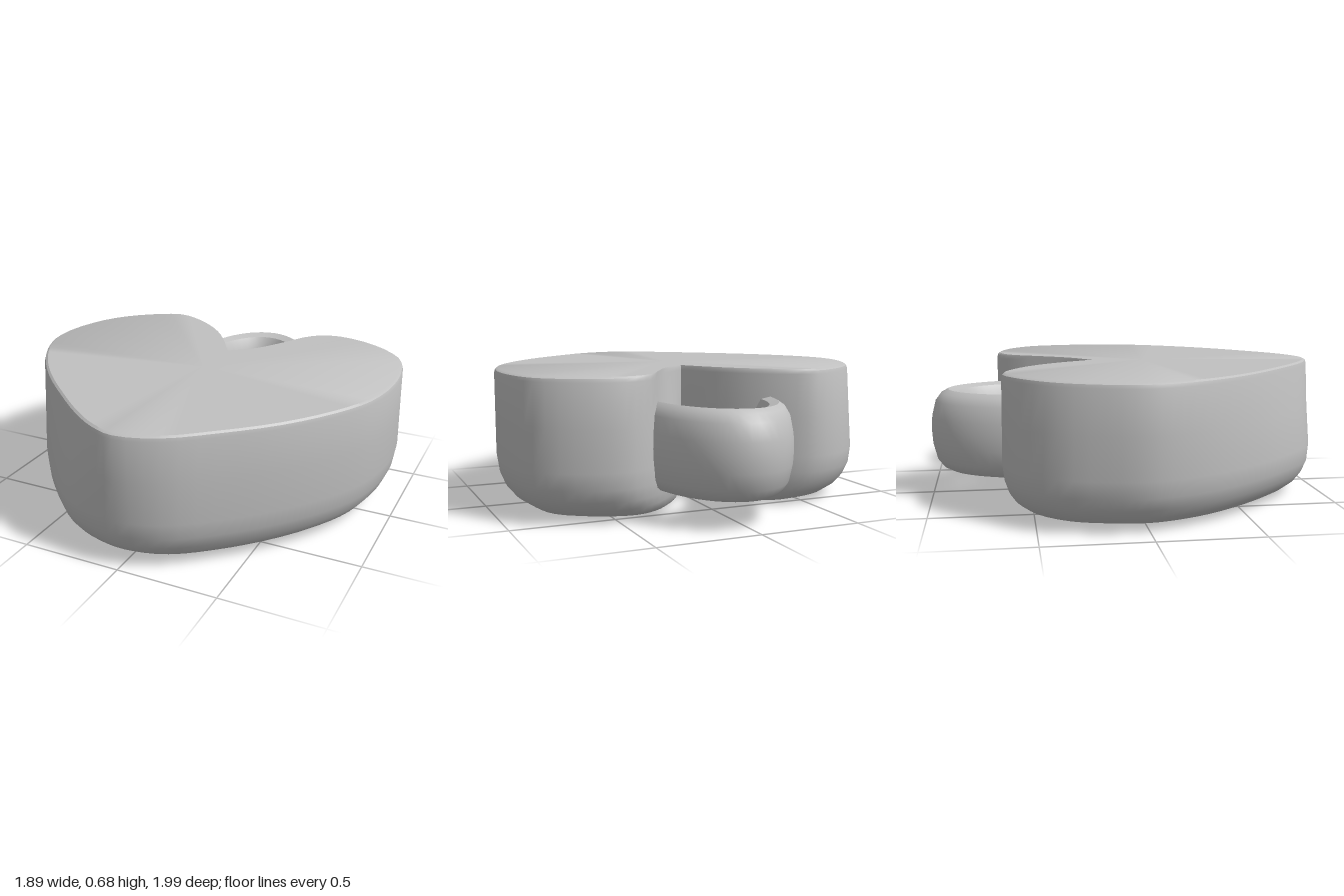
import * as THREE from 'three';
import { toCreasedNormals } from 'three/addons/utils/BufferGeometryUtils.js';

// Heart outlines as x, z pairs, from the notch round the left lobe, tip and right lobe
const LOWER = [
  [0.02, -0.17], [0.1, -0.33], [0.21, -0.47], [0.35, -0.6], [0.5, -0.655], [0.72, -0.6],
  [0.88, -0.48], [0.935, -0.3], [0.945, -0.08], [0.9, 0.16], [0.8, 0.36], [0.62, 0.59],
  [0.4, 0.8], [0.2, 0.94], [0, 0.995], [-0.16, 0.975], [-0.32, 0.91], [-0.5, 0.75],
  [-0.66, 0.57], [-0.82, 0.34], [-0.91, 0.14], [-0.945, -0.02], [-0.925, -0.2],
  [-0.86, -0.41], [-0.7, -0.58], [-0.5, -0.645], [-0.35, -0.59], [-0.2, -0.48], [-0.09, -0.35], [0.02, -0.17],
];
const UPPER = [
  [0.02, -0.17], [0.15, -0.28], [0.25, -0.43], [0.36, -0.6], [0.5, -0.655], [0.72, -0.595],
  [0.87, -0.47], [0.93, -0.3], [0.945, -0.08], [0.9, 0.16], [0.8, 0.35], [0.62, 0.58],
  [0.4, 0.78], [0.2, 0.93], [0, 0.99], [-0.13, 0.95], [-0.27, 0.86], [-0.46, 0.7],
  [-0.65, 0.52], [-0.81, 0.32], [-0.91, 0.13], [-0.945, -0.02], [-0.92, -0.2],
  [-0.83, -0.4], [-0.68, -0.55], [-0.5, -0.64], [-0.35, -0.59], [-0.2, -0.48], [-0.09, -0.35], [0.02, -0.17],
];
// Height and scale of each layer, bottom to top
const LAYERS = [
  [0, 0.7], [0.008, 0.78], [0.03, 0.865], [0.065, 0.92], [0.11, 0.96], [0.17, 0.987],
  [0.25, 1], [0.45, 1], [0.655, 1], [0.672, 0.994], [0.68, 0.98],
];
const CENTRE_Z = 0.1;

// Skin rows of points; a row holding a single point closes as a fan
function loft(rows, crease) {
  const pos = [];
  const tri = (...pts) => pts.forEach((p) => pos.push(...p));
  for (let i = 0; i < rows.length - 1; i++) {
    const a = rows[i], b = rows[i + 1];
    const n = Math.max(a.length, b.length);
    for (let j = 0; j < n; j++) {
      const k = (j + 1) % n;
      if (a.length > 1) tri(a[j], b[j % b.length], a[k]);
      if (b.length > 1) tri(a[k % a.length], b[j], b[k]);
    }
  }
  const geo = new THREE.BufferGeometry();
  geo.setAttribute('position', new THREE.Float32BufferAttribute(pos, 3));
  return toCreasedNormals(geo, crease);
}

function outline(points) {
  const curve = new THREE.CatmullRomCurve3(points.map(([x, z]) => new THREE.Vector3(x, 0, z)));
  return curve.getPoints(87).slice(0, -1);
}

function heartGeometry() {
  const lower = outline(LOWER), upper = outline(UPPER);
  const rows = LAYERS.map(([y, s]) => {
    const t = THREE.MathUtils.clamp((y - 0.2) / 0.45, 0, 1);
    return lower.map((p, j) => {
      const q = p.clone().lerp(upper[j], t);
      return [q.x * s, y, CENTRE_Z + (q.z - CENTRE_Z) * s];
    });
  });
  return loft([[[0, 0, CENTRE_Z]], ...rows, [[0, 0.68, CENTRE_Z]]], 0.6);
}

// Half-oval loop with a tall rounded band section; its feet sink into the lobes
function loopGeometry() {
  const section = [
    [0.1, 0], [0.095, 0.07], [0.075, 0.15], [0.045, 0.19], [0.01, 0.208], [-0.045, 0.195],
    [-0.085, 0.13], [-0.1, 0.05], [-0.1, -0.05], [-0.085, -0.13], [-0.045, -0.195],
    [0.01, -0.208], [0.045, -0.19], [0.075, -0.15], [0.095, -0.07],
  ];
  const rows = [];
  for (let i = 0; i <= 24; i++) {
    const a = (Math.PI * i) / 24;
    rows.push(section.map(([o, y]) => [
      Math.cos(a) * (0.29 + o * 0.73), 0.337 + y, -0.42 - Math.sin(a) * (0.48 + o),
    ]));
  }
  return loft(rows, 0.6);
}

export function createModel() {
  const grey = new THREE.MeshStandardMaterial({ color: 0xc0c0c0 });
  grey.name = 'light grey';
  const group = new THREE.Group();
  group.name = 'heartPendant';
  const add = (name, geometry) => {
    const mesh = new THREE.Mesh(geometry, grey);
    mesh.name = name;
    group.add(mesh);
  };
  add('heartBody', heartGeometry());
  add('hangingLoop', loopGeometry());
  return group;
}
